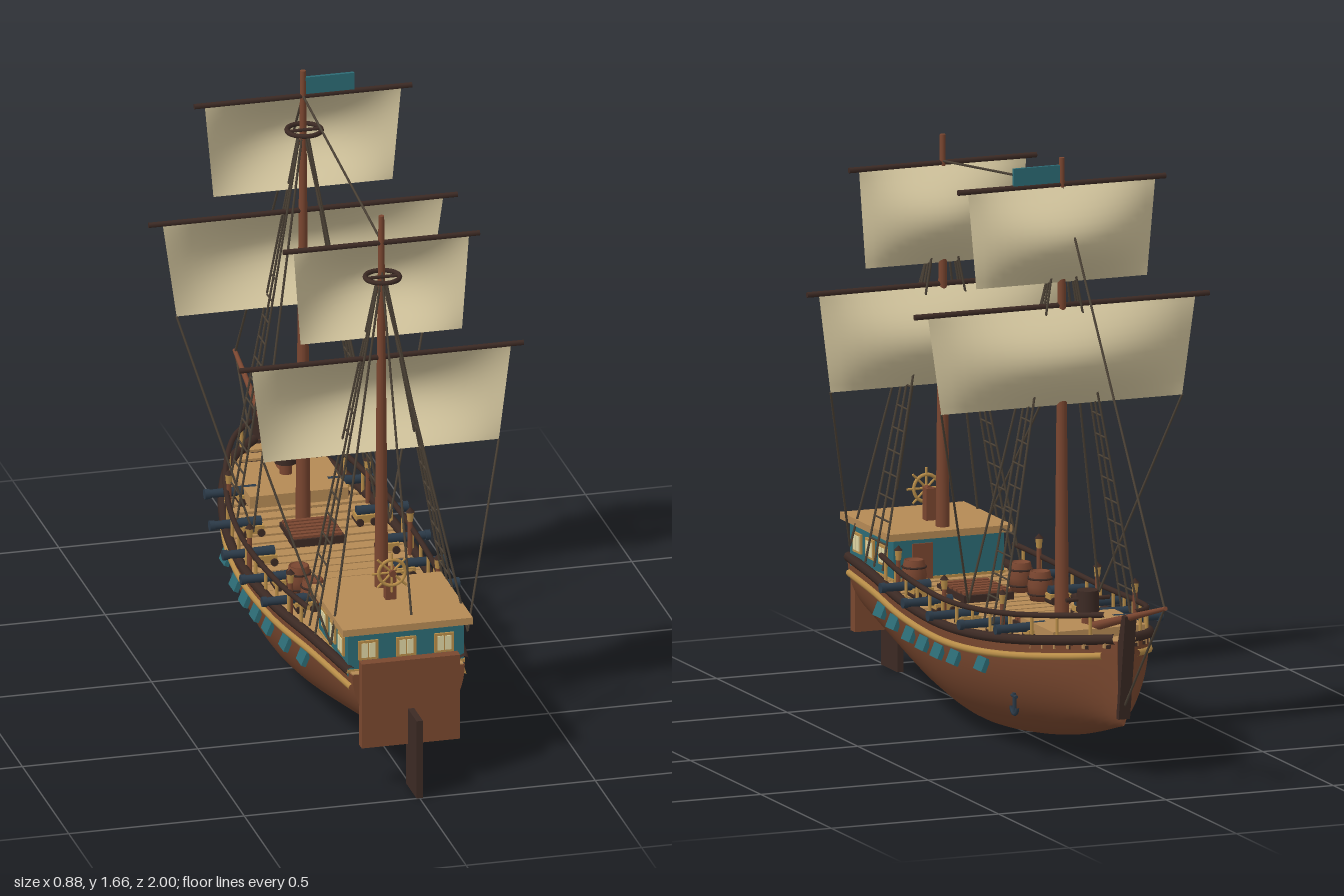
import * as THREE from 'three';

const mat = (color, side = THREE.FrontSide) => new THREE.MeshStandardMaterial({ color, side });
const HULL = mat(0x7a482f, THREE.DoubleSide), WOOD = mat(0x7a4630), DARK = mat(0x3c2a24), GOLD = mat(0xb88d48),
  TEAL = mat(0x2c6b75), CANVAS = mat(0xd6c8a0, THREE.DoubleSide), PLANK = mat(0xb58a55), IRON = mat(0x2b3a48),
  ROPE = mat(0x4c4236), GLASS = mat(0xe0d6a4);

// hull lines along z: half-width, keel height, sheer height
const line = (zs, vs) => {
  const c = new THREE.CubicInterpolant(zs, vs, 1);
  return z => c.evaluate(z)[0];
};
const W = line([-0.7, -0.62, -0.5, -0.3, -0.1, 0.1, 0.35, 0.6, 0.88], [0.02, 0.1, 0.16, 0.215, 0.24, 0.243, 0.23, 0.2, 0.16]);
const K = line([-0.7, -0.4, -0.1, 0.1, 0.3, 0.52, 0.88], [0.15, 0.07, 0.022, 0.01, 0.033, 0.073, 0.145]);
const S = line([-0.7, -0.3, 0, 0.3, 0.6, 0.88], [0.39, 0.335, 0.315, 0.32, 0.335, 0.335]);
const hullX = (z, y) => {
  const f = 1 - (y - K(z)) / (S(z) - K(z));
  return W(z) * Math.sqrt(Math.max(0, 1 - f * f));
};

function group(parent, name) {
  const g = new THREE.Group();
  g.name = name;
  parent.add(g);
  return g;
}
function add(parent, name, geo, material, x = 0, y = 0, z = 0) {
  const m = new THREE.Mesh(geo, material);
  m.name = name;
  m.position.set(x, y, z);
  parent.add(m);
  return m;
}
const box = (p, name, m, w, h, d, x, y, z) => add(p, name, new THREE.BoxGeometry(w, h, d), m, x, y, z);
// tapered round bar from a to b
function rod(p, name, m, a, b, r, r2 = r, sides = 8) {
  const A = new THREE.Vector3(...a), B = new THREE.Vector3(...b), d = B.clone().sub(A);
  const mesh = add(p, name, new THREE.CylinderGeometry(r2, r, d.length(), sides), m);
  mesh.position.copy(A).addScaledVector(d, 0.5);
  mesh.quaternion.setFromUnitVectors(new THREE.Vector3(0, 1, 0), d.normalize());
  return mesh;
}
const rope = (p, a, b, r = 0.0035) => rod(p, 'rope', ROPE, a, b, r, r, 5);
// tube following the side of the hull
function strake(p, name, m, z0, z1, dy, r, out, s) {
  const pts = [];
  for (let i = 0; i <= 20; i++) {
    const z = z0 + (z1 - z0) * i / 20, y = S(z) + dy;
    pts.push(new THREE.Vector3(s * ((dy < 0 ? hullX(z, y) : W(z)) + out), y, z));
  }
  add(p, name, new THREE.TubeGeometry(new THREE.CatmullRomCurve3(pts), 50, r, 8), m);
}

function buildHull(ship) {
  const NZ = 48, NT = 28, pos = [], idx = [];
  for (let i = 0; i <= NZ; i++) {
    const z = -0.7 + 1.58 * i / NZ;
    for (let j = 0; j <= NT; j++) {
      const t = (j / NT - 0.5) * Math.PI;
      pos.push(W(z) * Math.sin(t), K(z) + (S(z) - K(z)) * (1 - Math.cos(t)), z);
      if (i < NZ && j < NT) {
        const a = i * (NT + 1) + j, b = a + NT + 1;
        idx.push(a, a + 1, b, b, a + 1, b + 1);
      }
    }
  }
  const geo = new THREE.BufferGeometry();
  geo.setAttribute('position', new THREE.Float32BufferAttribute(pos, 3));
  geo.setIndex(idx);
  geo.computeVertexNormals();
  add(ship, 'hull', geo, HULL);
  // flat ends at stern and bow
  for (const [name, z] of [['sternEnd', 0.88], ['bowEnd', -0.7]]) {
    const pts = [];
    for (let j = 0; j <= NT; j++) {
      const t = (j / NT - 0.5) * Math.PI;
      pts.push(new THREE.Vector2(W(z) * Math.sin(t), K(z) + (S(z) - K(z)) * (1 - Math.cos(t))));
    }
    add(ship, name, new THREE.ShapeGeometry(new THREE.Shape(pts)), HULL, 0, 0, z);
  }
  box(ship, 'transom', HULL, 0.28, 0.25, 0.03, 0, 0.25, 0.89);
  box(ship, 'rudder', DARK, 0.018, 0.23, 0.115, 0, 0.115, 0.9425);
  // stem post, drawn in z and y
  const stem = new THREE.Shape([[0.69, 0.17], [0.705, 0.17], [0.752, 0.468], [0.728, 0.468], [0.69, 0.36]].map(p => new THREE.Vector2(...p)));
  add(ship, 'stem', new THREE.ExtrudeGeometry(stem, { depth: 0.034, bevelEnabled: false }), DARK, -0.017).rotation.y = Math.PI / 2;
  // deck planks laid across
  const deck = group(ship, 'deck');
  for (let z = -0.665; z < 0.86; z += 0.046) {
    const w = 2 * W(z) - 0.012;
    box(deck, 'plank', PLANK, w, 0.016, 0.041, 0, S(z) - 0.008, z);
    box(deck, 'deckSeam', DARK, w - 0.01, 0.01, 0.046, 0, S(z) - 0.012, z);
  }
  box(ship, 'foredeck', PLANK, 0.28, 0.035, 0.23, 0, 0.375, -0.415);
}

function buildSide(ship, s) {
  const side = group(ship, s > 0 ? 'leftSide' : 'rightSide');
  strake(side, 'goldStripe', GOLD, 0.87, -0.67, -0.04, 0.01, 0.001, s);
  strake(side, 'gunwale', DARK, 0.87, -0.695, 0.006, 0.014, 0, s);
  strake(side, 'handRail', DARK, 0.55, -0.67, 0.075, 0.008, -0.008, s);
  for (let z = 0.5; z > -0.68; z -= 0.095) {
    rod(side, 'railPost', GOLD, [s * (W(z) - 0.008), S(z), z], [s * (W(z) - 0.008), S(z) + 0.075, z], 0.005);
  }
  // open gun port lids
  for (const z of [0.53, 0.4, 0.26, 0.15, 0.04, -0.07, -0.23]) {
    const y = S(z) - 0.075;
    box(side, 'portLid', TEAL, 0.014, 0.04, 0.058, s * (hullX(z, y) + 0.007), y, z).rotation.z = s * 0.4;
  }
  // cannons on carriages
  for (const z of [0.36, 0.175, -0.01, -0.2, -0.38]) {
    const c = group(side, 'cannon'), y = S(z) + 0.036, w = W(z);
    rod(c, 'barrel', IRON, [s * (w - 0.095), y, z], [s * (w + 0.05), y, z], 0.015, 0.011, 12);
    rod(c, 'muzzleRing', IRON, [s * (w + 0.038), y, z], [s * (w + 0.052), y, z], 0.0145, 0.0145, 12);
    box(c, 'carriage', GOLD, 0.06, 0.022, 0.042, s * (w - 0.07), S(z) + 0.018, z);
    for (const dx of [-0.09, -0.05]) {
      rod(c, 'wheels', DARK, [s * (w + dx), S(z) + 0.01, z - 0.028], [s * (w + dx), S(z) + 0.01, z + 0.028], 0.011, 0.011, 10);
    }
  }
  // small lanterns on posts
  for (const z of [0.4, 0.03, -0.31]) {
    const x = s * (W(z) - 0.015);
    rod(side, 'lanternPost', WOOD, [x, S(z), z], [x, S(z) + 0.1, z], 0.007);
    add(side, 'lantern', new THREE.CylinderGeometry(0.011, 0.008, 0.028, 8), GOLD, x, S(z) + 0.114, z);
    add(side, 'lanternCap', new THREE.ConeGeometry(0.013, 0.014, 8), DARK, x, S(z) + 0.134, z);
  }
  // anchor
  const anchor = group(side, 'anchor');
  anchor.position.set(s * (hullX(-0.34, 0.16) + 0.016), 0.16, -0.34);
  rod(anchor, 'shank', IRON, [0, -0.028, 0], [0, 0.03, 0], 0.006);
  rod(anchor, 'stock', IRON, [0, 0.02, -0.016], [0, 0.02, 0.016], 0.005);
  const arms = add(anchor, 'arms', new THREE.TorusGeometry(0.02, 0.006, 6, 14, Math.PI), IRON, 0, -0.01, 0);
  arms.rotation.set(Math.PI, Math.PI / 2, 0);
}

function buildCabin(ship) {
  const cabin = group(ship, 'cabin');
  box(cabin, 'walls', TEAL, 0.33, 0.13, 0.31, 0, 0.385, 0.695);
  box(cabin, 'roof', PLANK, 0.37, 0.02, 0.345, 0, 0.458, 0.7);
  box(cabin, 'sill', GOLD, 0.336, 0.01, 0.316, 0, 0.335, 0.695);
  box(cabin, 'door', WOOD, 0.06, 0.1, 0.01, 0.08, 0.385, 0.539);
  const pane = (x, z, ry) => {
    const w = group(cabin, 'window');
    w.position.set(x, 0.395, z);
    w.rotation.y = ry;
    box(w, 'frame', GOLD, 0.056, 0.056, 0.01, 0, 0, 0);
    for (const dx of [-0.011, 0.011]) box(w, 'glass', GLASS, 0.018, 0.042, 0.014, dx, 0, 0);
  };
  for (const i of [-1, 0, 1]) {
    pane(i * 0.108, 0.851, 0);
    for (const s of [-1, 1]) pane(s * 0.166, 0.7 + i * 0.09, s * Math.PI / 2);
  }
  // steering wheel
  const helm = group(ship, 'helm');
  helm.position.set(0, 0.553, 0.7);
  box(helm, 'stand', WOOD, 0.03, 0.1, 0.025, 0, -0.045, -0.022);
  add(helm, 'rim', new THREE.TorusGeometry(0.038, 0.005, 8, 28), GOLD);
  for (let i = 0; i < 8; i++) {
    const a = i * Math.PI / 4;
    rod(helm, 'spoke', GOLD, [0, 0, 0], [0.058 * Math.cos(a), 0.058 * Math.sin(a), 0], 0.0035);
  }
  rod(helm, 'hub', WOOD, [0, 0, -0.02], [0, 0, 0.012], 0.01);
}

function buildFittings(ship) {
  for (const [z, len] of [[-0.16, 0.14], [0.35, 0.19]]) {
    const hatch = group(ship, 'hatch');
    box(hatch, 'hatchWell', DARK, 0.15, 0.022, len, 0, S(z) + 0.006, z);
    for (let i = 0; i < 6; i++) box(hatch, 'grating', WOOD, 0.14, 0.01, len / 10, 0, S(z) + 0.019, z + (i - 2.5) * len / 6.2);
  }
  const profile = [[0, 0], [0.028, 0], [0.036, 0.04], [0.028, 0.082], [0.024, 0.082], [0.024, 0.077], [0, 0.077]];
  for (const [x, z] of [[-0.14, 0.225], [-0.13, 0.34], [0.14, 0.455]]) {
    const b = group(ship, 'barrel');
    b.position.set(x, S(z), z);
    add(b, 'staves', new THREE.LatheGeometry(profile.map(p => new THREE.Vector2(...p)), 18), WOOD);
    for (const y of [0.018, 0.062]) add(b, 'hoop', new THREE.TorusGeometry(0.033, 0.003, 6, 20), DARK, 0, y, 0).rotation.x = Math.PI / 2;
  }
  rod(ship, 'capstanDrum', WOOD, [0, 0.37, -0.445], [0, 0.43, -0.445], 0.018, 0.018, 12);
  rod(ship, 'capstanHead', DARK, [0, 0.425, -0.445], [0, 0.485, -0.445], 0.032, 0.03, 16);
  rod(ship, 'capstanBar', DARK, [-0.065, 0.46, -0.445], [0.065, 0.46, -0.445], 0.006);
  rod(ship, 'bowsprit', WOOD, [0, 0.385, -0.47], [0, 0.537, -0.998], 0.014, 0.006, 12);
}

// yard with a billowing sail below it
function buildSail(rig, z, y, half, bottom, topHalf, bottomHalf) {
  rod(rig, 'yard', DARK, [-half, y, z], [half, y, z], 0.008);
  const h = y - bottom, geo = new THREE.PlaneGeometry(2, h, 20, 14), p = geo.attributes.position;
  for (let i = 0; i < p.count; i++) {
    const u = p.getX(i), v = 0.5 - p.getY(i) / h;
    p.setX(i, u * (topHalf + (bottomHalf - topHalf) * v));
    p.setZ(i, -0.095 * Math.sin(Math.PI * v) * Math.cos(u * Math.PI / 2));
  }
  geo.computeVertexNormals();
  add(rig, 'sail', geo, CANVAS, 0, y - h / 2, z);
}

function buildMast(ship, name, z, top, ringY, lower, upper, sheetZ) {
  const rig = group(ship, name);
  rod(rig, 'mast', WOOD, [0, S(z) - 0.02, z], [0, top, z], 0.021, 0.008, 14);
  add(rig, 'lookoutRing', new THREE.TorusGeometry(0.048, 0.007, 8, 24), DARK, 0, ringY, z + 0.012).rotation.x = Math.PI / 2;
  rod(rig, 'lookoutBrace', DARK, [-0.048, ringY, z + 0.012], [0.048, ringY, z + 0.012], 0.005);
  buildSail(rig, z, ...lower);
  buildSail(rig, z, ...upper);
  for (const s of [-1, 1]) {
    // shrouds with ratline rungs, and sheets from the lower sail
    const foot = 0.37, head = ringY - 0.03;
    const at = (k, y) => {
      const t = (y - foot) / (head - foot);
      return [s * (0.205 + (0.014 - 0.205) * t), y, z + k * (0.062 + (0.008 - 0.062) * t)];
    };
    for (const k of [-1, 0, 1]) rope(rig, at(k, foot), at(k, head));
    for (let y = 0.44; y < 1.12; y += 0.062) rope(rig, at(-1, y), at(1, y), 0.0028);
    rope(rig, [s * lower[4], lower[2], z], [s * 0.195, 0.39, sheetZ]);
    rope(rig, [0, ringY, z], [s * 0.195, 0.39, sheetZ]);
  }
}

export function createModel() {
  const ship = new THREE.Group();
  ship.name = 'sailingShip';
  buildHull(ship);
  for (const s of [-1, 1]) buildSide(ship, s);
  buildCabin(ship);
  buildFittings(ship);
  buildMast(ship, 'aftMast', 0.585, 1.57, 1.393, [1.15, 0.405, 0.87, 0.37, 0.335], [1.49, 0.28, 1.21, 0.25, 0.23], 0.78);
  buildMast(ship, 'foreMast', -0.26, 1.665, 1.493, [1.25, 0.44, 0.97, 0.4, 0.36], [1.59, 0.31, 1.315, 0.28, 0.255], -0.06);
  box(ship, 'flag', TEAL, 0.14, 0.05, 0.01, 0.075, 1.62, -0.26);
  // fore-and-aft stays
  rope(ship, [0, 1.59, -0.26], [0, 0.535, -0.99]);
  rope(ship, [0, 0.535, -0.99], [0, 0.2, -0.7]);
  rope(ship, [0, 1.59, -0.26], [0, 1.495, 0.585]);
  rope(ship, [0, 1.41, 0.59], [0, 0.51, 0.91]);
  return ship;
}
